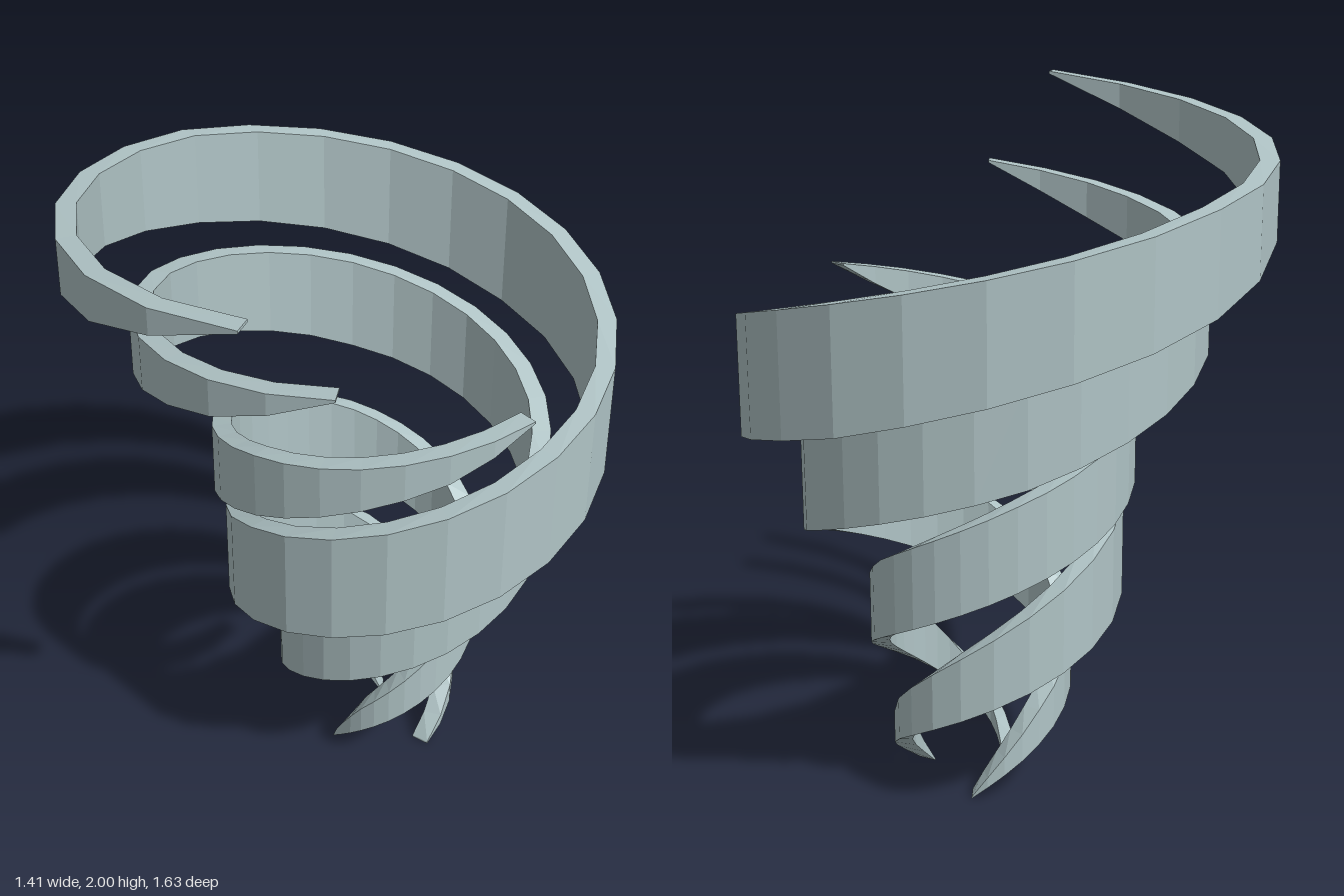
import * as THREE from 'three';

// Shared axis of the three spirals
const AXIS = { x: 0.1, z: -0.105 };
const THICKNESS = 0.055;
const SEGMENTS = 40;

// Edge offsets from the rising centre line, as [t, offset]
const TOP_EDGE = [[0, 0.006], [0.1, 0.11], [0.27, 0.2], [0.4, 0.235], [0.55, 0.22], [0.7, 0.18], [0.83, 0.14], [0.96, 0.035], [1, 0]];
const BOTTOM_EDGE = [[0, 0], [0.1, -0.02], [0.27, -0.065], [0.4, -0.1], [0.55, -0.135], [0.7, -0.165], [0.83, -0.14], [0.96, -0.08], [1, -0.008]];

// start/end angles in degrees, outer radius at both ends, top height, band width factor
const ARMS = [
  { name: 'shortSpiralRibbon', a0: -111, a1: 349, r0: 0.155, r1: 0.6, height: 1.48, width: 0.7 },
  { name: 'middleSpiralRibbon', a0: 121, a1: 660, r0: 0.185, r1: 0.767, height: 1.74, width: 0.85 },
  { name: 'longSpiralRibbon', a0: 5, a1: 648, r0: 0.195, r1: 0.935, height: 2, width: 1 },
];

function sample(table, t) {
  let i = 1;
  while (i < table.length - 1 && t > table[i][0]) i++;
  const [t0, v0] = table[i - 1];
  const [t1, v1] = table[i];
  return THREE.MathUtils.lerp(v0, v1, (t - t0) / (t1 - t0));
}

// Four corners of the band: outer bottom, outer top, inner top, inner bottom
function section(arm, t) {
  const angle = THREE.MathUtils.degToRad(THREE.MathUtils.lerp(arm.a0, arm.a1, t));
  const outer = THREE.MathUtils.lerp(arm.r0, arm.r1, t);
  const inner = outer - THICKNESS;
  const mid = arm.height * t;
  const top = mid + arm.width * sample(TOP_EDGE, t);
  const bottom = Math.max(0, mid + arm.width * sample(BOTTOM_EDGE, t));
  const corner = (r, y) => [AXIS.x + r * Math.cos(angle), y, AXIS.z - r * Math.sin(angle)];
  return [corner(outer, bottom), corner(outer, top), corner(inner, top), corner(inner, bottom)];
}

function ribbonGeometry(arm) {
  const positions = [];
  const quad = (a, b, c, d) => positions.push(...a, ...b, ...c, ...a, ...c, ...d);
  const rings = [];
  for (let i = 0; i <= SEGMENTS; i++) rings.push(section(arm, i / SEGMENTS));

  // Four sides along the spiral
  for (let i = 0; i < SEGMENTS; i++) {
    const a = rings[i];
    const b = rings[i + 1];
    for (let k = 0; k < 4; k++) {
      const n = (k + 1) % 4;
      quad(a[k], b[k], b[n], a[n]);
    }
  }
  // End caps
  const [s, e] = [rings[0], rings[SEGMENTS]];
  quad(s[0], s[1], s[2], s[3]);
  quad(e[3], e[2], e[1], e[0]);

  const geometry = new THREE.BufferGeometry();
  geometry.setAttribute('position', new THREE.Float32BufferAttribute(positions, 3));
  geometry.computeVertexNormals();
  return geometry;
}

export function createModel() {
  const group = new THREE.Group();
  group.name = 'spiralSculpture';
  const material = new THREE.MeshStandardMaterial({ color: 0xb0c4c6 });
  material.name = 'paleBlueGrey';
  material.flatShading = true;

  for (const arm of ARMS) {
    const mesh = new THREE.Mesh(ribbonGeometry(arm), material);
    mesh.name = arm.name;
    group.add(mesh);
  }
  return group;
}
